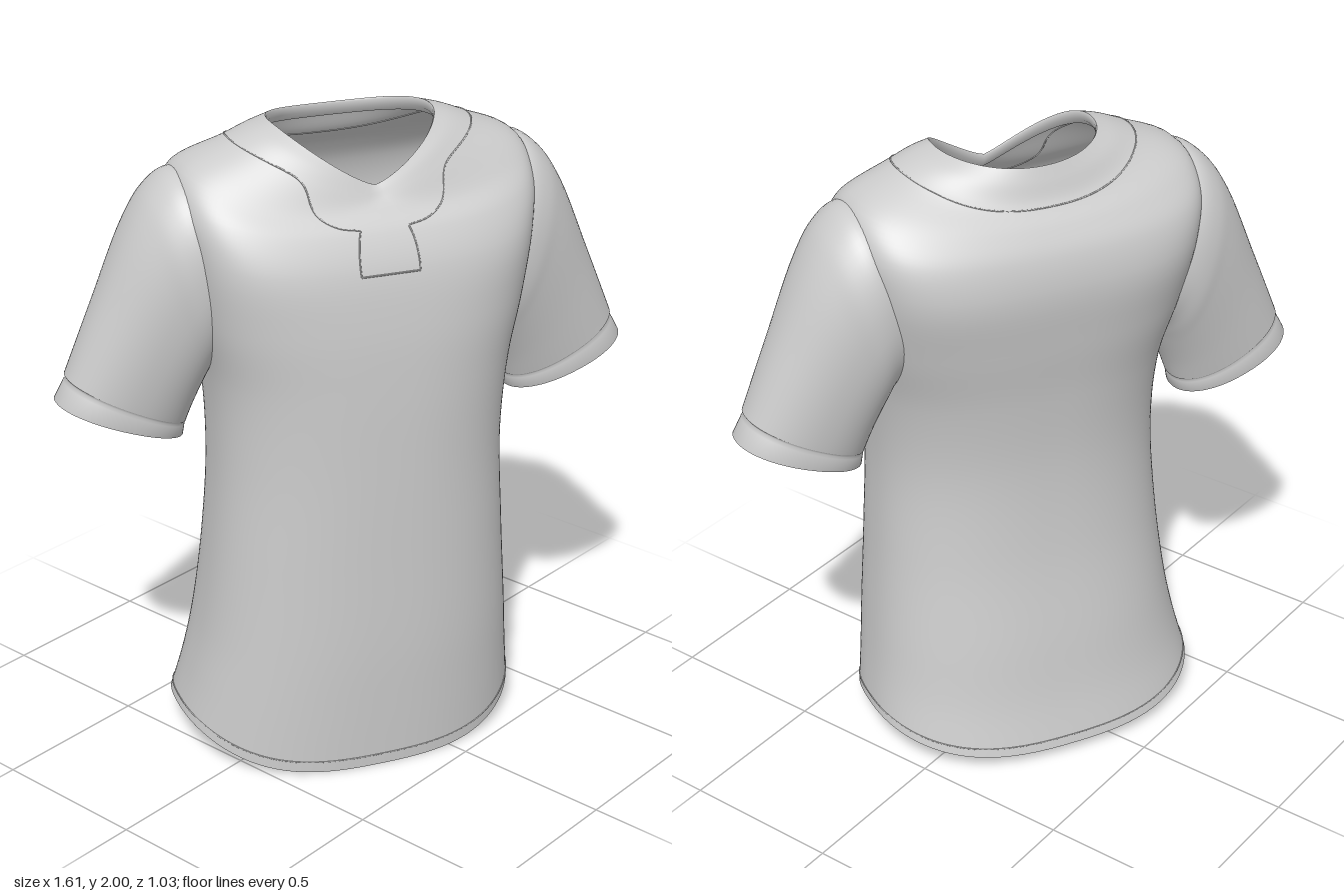
import * as THREE from 'three';

const V = (x, y, z) => new THREE.Vector3(x, y, z);
const material = new THREE.MeshStandardMaterial({ color: 0xcccccc, side: THREE.DoubleSide });

// signed power, used for superellipse cross-sections
const spow = (a, p) => Math.sign(a) * Math.pow(Math.abs(a), p);

// Closed-loop skin: column(angle) gives the points running along the part
function loft(name, column, segments) {
  const pos = [], idx = [];
  let rows = 0;
  for (let j = 0; j < segments; j++) {
    const pts = column((j / segments) * Math.PI * 2);
    rows = pts.length;
    pts.forEach(p => pos.push(p.x, p.y, p.z));
  }
  for (let j = 0; j < segments; j++) {
    const k = (j + 1) % segments;
    for (let i = 0; i < rows - 1; i++) {
      const a = j * rows + i, b = k * rows + i;
      idx.push(a, a + 1, b, b, a + 1, b + 1);
    }
  }
  const g = new THREE.BufferGeometry();
  g.setAttribute('position', new THREE.Float32BufferAttribute(pos, 3));
  g.setIndex(idx);
  g.computeVertexNormals();
  const mesh = new THREE.Mesh(g, material);
  mesh.name = name;
  return mesh;
}

function seam(name, pts, closed = false) {
  const curve = new THREE.CatmullRomCurve3(pts, closed);
  const mesh = new THREE.Mesh(new THREE.TubeGeometry(curve, pts.length * 2, 0.0025, 5, closed), material);
  mesh.name = name;
  return mesh;
}

// Torso rings, hem to neck:
// [side y, front y, back y, half width, front z, back z, roundness, sideways shift]
const RINGS = [
  [0.115, 0.00, 0.04, 0.546, 0.408, -0.366, 2.4, -0.028],
  [0.25, 0.20, 0.20, 0.521, 0.415, -0.330, 2.4, -0.020],
  [0.41, 0.40, 0.40, 0.498, 0.420, -0.300, 2.4, -0.012],
  [0.70, 0.70, 0.70, 0.470, 0.418, -0.256, 2.4, -0.008],
  [1.00, 1.00, 1.00, 0.454, 0.415, -0.242, 2.4, -0.006],
  [1.25, 1.25, 1.25, 0.467, 0.410, -0.262, 2.6, 0],
  [1.45, 1.45, 1.45, 0.505, 0.398, -0.293, 3.0, 0],
  [1.67, 1.62, 1.63, 0.535, 0.370, -0.313, 3.5, 0],
  [1.80, 1.72, 1.74, 0.550, 0.327, -0.294, 3.2, 0],
  [1.885, 1.775, 1.815, 0.525, 0.288, -0.252, 2.6, 0],
  [1.955, 1.805, 1.875, 0.380, 0.264, -0.205, 2.2, 0],
  [1.985, 1.825, 1.93, 0.305, 0.252, -0.182, 2.2, 0],
  [2.00, 1.84, 1.97, 0.250, 0.242, -0.165, 2.1, 0],
];
const LAST = RINGS.length - 1;

function ringPoint([yS, yF, yB, A, zF, zB, n, shift], a) {
  const c = Math.cos(a), s = Math.sin(a);
  const mid = (zF + zB) / 2, half = (zF - zB) / 2;
  // the hem stays flat up to the sides, the neck dips into a soft V in front
  let k = s * s;
  if (yS < 0.3) k = 1 - Math.abs(c) ** 3;
  else if (s > 0 && yS > 1.95) k = 1 - Math.abs(c) ** 1.2;
  return V(shift + A * spow(c, 2 / n), yS + ((s > 0 ? yF : yB) - yS) * k, mid + half * spow(s, 2 / n));
}
const torsoCurve = a => new THREE.CatmullRomCurve3(RINGS.map(r => ringPoint(r, a)), false, 'centripetal');
const torsoAt = (a, ring) => torsoCurve(a).getPoint(ring / LAST);

// Sleeve sections, from inside the shoulder: [top x, top y, bottom x, bottom y, half depth]
const SLEEVE = [
  [0.440, 1.870, 0.400, 1.330, 0.205],
  [0.540, 1.878, 0.440, 1.300, 0.221],
  [0.607, 1.832, 0.460, 1.260, 0.219],
  [0.670, 1.740, 0.475, 1.220, 0.203],
  [0.780, 1.490, 0.500, 1.150, 0.170],
  [0.873, 1.270, 0.517, 1.093, 0.145],
];
// groove, band and turned-in edge
const CUFF = [
  [0.873, 1.270, 0.517, 1.093, 0.145],
  [0.867, 1.258, 0.525, 1.088, 0.139],
  [0.877, 1.250, 0.521, 1.082, 0.144],
  [0.907, 1.195, 0.526, 1.050, 0.146],
  [0.897, 1.196, 0.534, 1.054, 0.138],
  [0.863, 1.255, 0.528, 1.088, 0.136],
];
function sleevePoint([tx, ty, bx, by, d], a, side) {
  const c = spow(Math.cos(a), 0.92), s = spow(Math.sin(a), 0.92);
  const x = (tx + bx) / 2 + ((tx - bx) / 2) * c;
  const y = (ty + by) / 2 + ((ty - by) / 2) * c;
  // arms swing slightly, one forward and one back
  const t = (tx - 0.44) / 0.46;
  return V(side * x, y, 0.012 * (1 - t) + side * 0.014 * t - side * d * s);
}

export function createModel() {
  const model = new THREE.Group();
  model.name = 'shirt';
  const body = new THREE.Group();
  body.name = 'turnedShirt';
  body.rotation.y = THREE.MathUtils.degToRad(-28.5);
  model.add(body);

  // torso skin
  body.add(loft('torso', a => torsoCurve(a).getPoints(72), 128));

  // folded neckband and hem on the inside
  body.add(loft('neckband', a => {
    const p = ringPoint(RINGS[LAST], a);
    const fold = (f, drop) => V(p.x * f, p.y - drop, 0.035 + (p.z - 0.035) * f);
    return [p, fold(0.985, 0.006), fold(0.99, 0.025), fold(1.06, 0.045)];
  }, 96));
  body.add(loft('hemFold', a => {
    const p = torsoAt(a, 0), q = torsoAt(a, 0.18);
    return [V(q.x * 0.985, q.y, q.z * 0.985), V(p.x * 0.985, p.y + 0.004, p.z * 0.985), p];
  }, 96));

  // stitch line above the hem
  const loop = Array.from({ length: 80 }, (_, i) => (i / 80) * Math.PI * 2);
  body.add(seam('hemSeam', loop.map(a => torsoAt(a, 0.18)), true));

  // yoke seam round the back and shoulders, running down to the front placket
  const gap = 0.045, start = Math.PI / 2 + gap, span = Math.PI * 2 - gap * 2;
  const yoke = Array.from({ length: 81 }, (_, i) => {
    const a = start + (span * i) / 80, s = Math.sin(a);
    return torsoAt(a, 10.1 - (s > 0 ? 1.9 * s ** 14 : 0.3 * s * s));
  });
  body.add(seam('yokeSeam', yoke));
  for (const side of [-1, 1]) {
    const edge = [8.2, 7.9, 7.6, 7.2, 6.95].map(r => torsoAt(Math.PI / 2 + side * gap, r));
    body.add(seam('placketEdge', edge));
  }
  body.add(seam('placketEnd', [-1, -0.4, 0.4, 1].map(k => torsoAt(Math.PI / 2 + k * gap, 6.95))));

  // sleeves with turned cuffs
  for (const side of [1, -1]) {
    const sleeve = new THREE.Group();
    sleeve.name = side > 0 ? 'leftSleeve' : 'rightSleeve';
    sleeve.add(loft('sleeveTube', a =>
      new THREE.CatmullRomCurve3(SLEEVE.map(r => sleevePoint(r, a, side))).getPoints(30), 64));
    sleeve.add(loft('cuff', a => CUFF.map(r => sleevePoint(r, a, side)), 64));
    body.add(sleeve);
  }
  return model;
}
